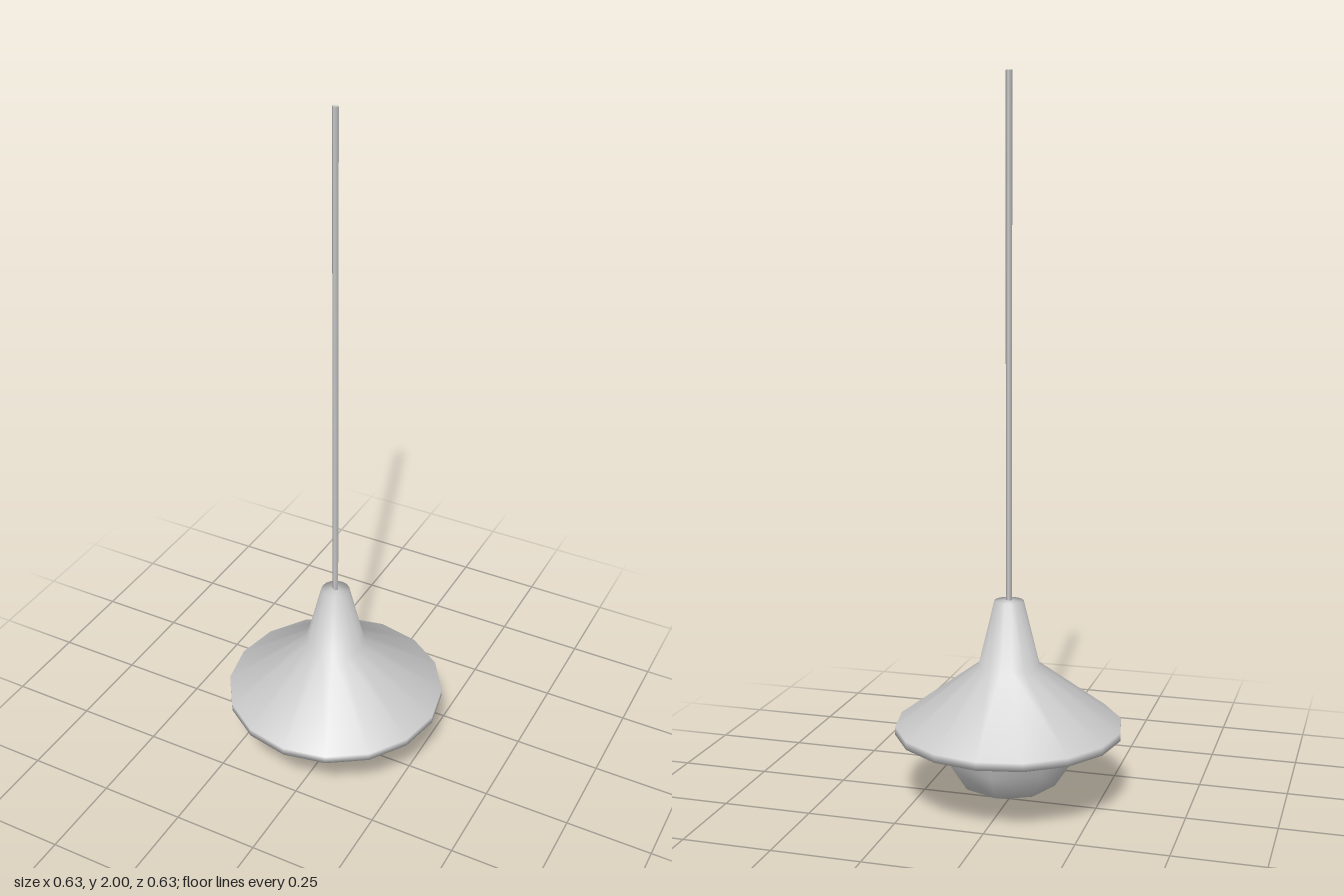
import * as THREE from 'three';

const SHADE_BASE = 0.205;

// Smooth solid of revolution from [radius, height] pairs, listed bottom to top
function turned(name, profile, sides, material) {
  const points = profile.map(([r, y]) => new THREE.Vector2(r, y));
  const mesh = new THREE.Mesh(new THREE.LatheGeometry(points, sides), material);
  mesh.name = name;
  return mesh;
}

export function createModel() {
  const group = new THREE.Group();
  group.name = 'pendantLamp';
  const grey = new THREE.MeshStandardMaterial({ color: 0xcccccc });
  const greyOpen = new THREE.MeshStandardMaterial({ color: 0xcccccc, side: THREE.DoubleSide });

  // Conical shade with a tapered neck, a short rim and closed ends
  group.add(turned('shade', [
    [0, SHADE_BASE], [0.317, SHADE_BASE], [0.317, 0.228],
    [0.085, 0.398], [0.041, 0.578], [0, 0.58],
  ], 16, grey));

  // Half bulb hanging under the shade
  group.add(turned('bulb', [
    [0, 0.004], [0.133, 0.057], [0.181, 0.13], [0.196, SHADE_BASE],
  ], 8, greyOpen));

  // Thin four-sided cord up to the ceiling
  const bottom = 0.57, top = 2;
  const cord = new THREE.Mesh(new THREE.CylinderGeometry(0.009, 0.009, top - bottom, 4), grey);
  cord.position.y = (top + bottom) / 2;
  cord.name = 'cord';
  group.add(cord);

  return group;
}
